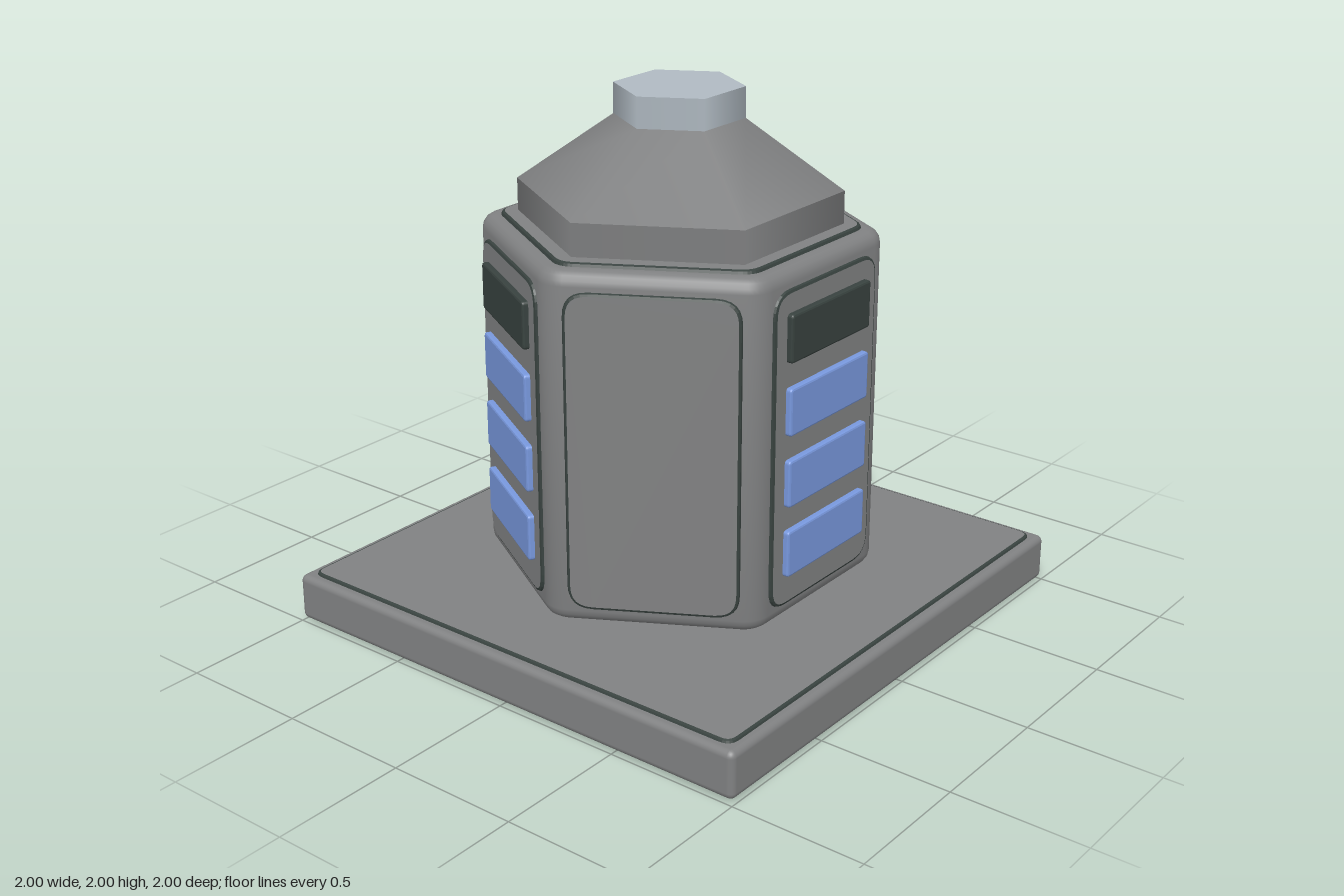
import * as THREE from 'three';
import { toCreasedNormals } from 'three/addons/utils/BufferGeometryUtils.js';
import { RoundedBoxGeometry } from 'three/addons/geometries/RoundedBoxGeometry.js';

const material = (name, color) => {
  const m = new THREE.MeshStandardMaterial({ color });
  m.name = name;
  return m;
};

// Closed polygon with every corner rounded by radius r
function roundedPolygon(points, r) {
  const shape = new THREE.Shape();
  const n = points.length;
  const cut = r * Math.tan(Math.PI / n);
  points.forEach((p, i) => {
    const toward = (q) => p.clone().add(q.clone().sub(p).setLength(cut));
    const a = toward(points[(i + n - 1) % n]);
    const b = toward(points[(i + 1) % n]);
    if (i === 0) shape.moveTo(a.x, a.y);
    else shape.lineTo(a.x, a.y);
    shape.quadraticCurveTo(p.x, p.y, b.x, b.y);
  });
  shape.closePath();
  return shape;
}

const rectangle = (w, h, r) => roundedPolygon(
  [[-1, -1], [1, -1], [1, 1], [-1, 1]].map(([x, y]) => new THREE.Vector2(x * w / 2, y * h / 2)), r);

// Hexagon with corners on the x axis, measured to its flat sides
const hexagon = (apothem, r) => roundedPolygon(
  Array.from({ length: 6 }, (_, i) => new THREE.Vector2(1, 0)
    .rotateAround(new THREE.Vector2(), i * Math.PI / 3)
    .multiplyScalar(apothem / Math.cos(Math.PI / 6))), r);

// Bevelled plate whose front face lies at z = 0
function plateGeometry(shape, depth, bevel) {
  const g = new THREE.ExtrudeGeometry(shape, {
    depth, curveSegments: 6, bevelEnabled: true,
    bevelThickness: bevel, bevelSize: bevel, bevelOffset: -bevel, bevelSegments: 2,
  });
  return g.translate(0, 0, -depth - bevel);
}

export function createModel() {
  const grey = material('wall grey', 0x808182);
  const dark = material('dark trim', 0x38423f);
  const blue = material('window blue', 0x7898dd);
  const pale = material('lamp pale grey', 0xb0bac2);

  const model = new THREE.Group();
  model.name = 'kiosk';
  const add = (name, geometry, mat, parent = model) => {
    const mesh = new THREE.Mesh(geometry, mat);
    mesh.name = name;
    parent.add(mesh);
    return mesh;
  };

  // Base slab with inset plates above and below
  add('baseSlab', new RoundedBoxGeometry(2, 0.178, 2, 3, 0.025), grey).position.y = 0.101;
  const basePlate = plateGeometry(rectangle(1.93, 1.93, 0.05), 0.01, 0.012);
  const baseTop = add('baseTopPlate', basePlate, [grey, dark]);
  baseTop.rotation.x = -Math.PI / 2;
  baseTop.position.y = 0.2;
  add('baseUndersidePlate', basePlate, [grey, dark]).rotation.x = Math.PI / 2;

  // Hexagonal body with softened edges
  const bodyGeometry = new THREE.ExtrudeGeometry(hexagon(0.58, 0.06), {
    depth: 1.195, curveSegments: 6, bevelEnabled: true,
    bevelThickness: 0.05, bevelSize: 0.05, bevelSegments: 4,
  });
  const body = add('body', toCreasedNormals(bodyGeometry, 0.6), grey);
  body.rotation.x = -Math.PI / 2;
  body.position.y = 0.263;

  // Hexagonal plates on the top and bottom of the body
  const hexPlate = plateGeometry(hexagon(0.568, 0.09), 0.01, 0.013);
  const bodyTop = add('bodyTopPlate', hexPlate, [grey, dark]);
  bodyTop.rotation.x = -Math.PI / 2;
  bodyTop.position.y = 1.521;
  const bodyBottom = add('bodyBottomPlate', hexPlate, [grey, dark]);
  bodyBottom.rotation.x = Math.PI / 2;
  bodyBottom.position.y = 0.197;

  // Six wall panels; every second one carries a sign and three windows
  const panel = plateGeometry(rectangle(0.605, 1.17, 0.09), 0.01, 0.012);
  const pane = plateGeometry(rectangle(0.468, 0.174, 0.014), 0.02, 0.008);
  for (let i = 0; i < 6; i++) {
    const wall = new THREE.Group();
    wall.name = `wall${i + 1}`;
    wall.rotation.y = i * Math.PI / 3;
    model.add(wall);
    add('wallPanel', panel, [grey, dark], wall).position.set(0, 0.858, 0.641);
    if (i % 2) continue;
    for (let k = 0; k < 4; k++) {
      add(k < 3 ? 'window' : 'sign', pane, k < 3 ? blue : dark, wall)
        .position.set(0, 0.48 + k * 0.265, 0.664);
    }
  }

  // Stepped roof and lamp, six-sided
  const hexTier = (name, topRadius, bottomRadius, y0, y1, mat, open) => {
    const g = new THREE.CylinderGeometry(topRadius, bottomRadius, y1 - y0, 6, 1, open);
    const mesh = add(name, g, mat);
    mesh.rotation.y = Math.PI / 6;
    mesh.position.y = (y0 + y1) / 2;
  };
  hexTier('roofBand', 0.583, 0.583, 1.51, 1.64, grey, false);
  hexTier('roofSlope', 0.233, 0.583, 1.64, 1.888, grey, false);
  hexTier('lamp', 0.233, 0.233, 1.888, 2, pale, false);

  return model;
}
